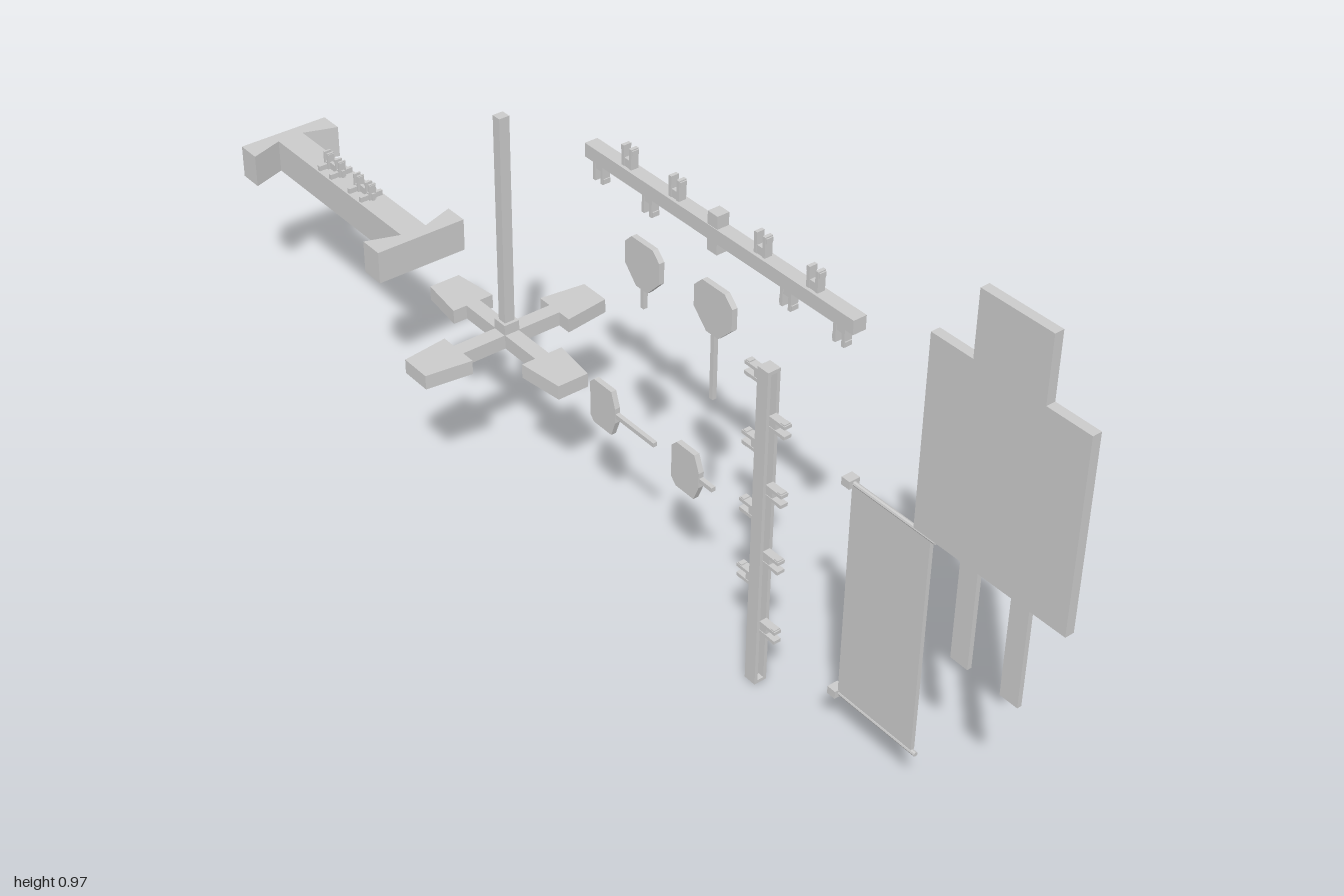
import * as THREE from 'three';

const mat = new THREE.MeshStandardMaterial({ color: 0xcccccc, flatShading: true });

function add(parent, name, geo, x = 0, y = 0, z = 0) {
  const m = new THREE.Mesh(geo, mat);
  m.name = name;
  m.position.set(x, y, z);
  parent.add(m);
  return m;
}

// box given by its limits on each axis
function block(parent, name, x0, x1, y0, y1, z0, z1) {
  return add(parent, name, new THREE.BoxGeometry(x1 - x0, y1 - y0, z1 - z0),
    (x0 + x1) / 2, (y0 + y1) / 2, (z0 + z1) / 2);
}

function group(parent, name, x = 0, y = 0, z = 0) {
  const g = new THREE.Group();
  g.name = name;
  g.position.set(x, y, z);
  parent.add(g);
  return g;
}

const toShape = pts => new THREE.Shape(pts.map(p => new THREE.Vector2(p[0], p[1])));

// moves every edge of a counter-clockwise outline inwards by d
function inset(pts, d) {
  const n = pts.length;
  const dir = (a, b) => {
    const l = Math.hypot(b[0] - a[0], b[1] - a[1]);
    return [(b[0] - a[0]) / l, (b[1] - a[1]) / l];
  };
  return pts.map((p, i) => {
    const u = dir(pts[(i + n - 1) % n], p), v = dir(p, pts[(i + 1) % n]);
    const k = d / (1 + u[0] * v[0] + u[1] * v[1]);
    return [p[0] - k * (u[1] + v[1]), p[1] + k * (u[0] + v[0])];
  });
}

// hollow moulding: flat top with walls, open underneath
function shell(parent, name, pts, height, wall) {
  const g = group(parent, name);
  const ring = toShape(pts);
  ring.holes.push(new THREE.Path(inset(pts, wall).map(p => new THREE.Vector2(p[0], p[1]))));
  const layer = (part, shape, depth, y) => {
    const geo = new THREE.ExtrudeGeometry(shape, { depth, bevelEnabled: false });
    add(g, part, geo.rotateX(-Math.PI / 2), 0, y, 0);
  };
  layer('walls', ring, height - wall, 0);
  layer('topPlate', toShape(pts), wall, height - wall);
  return g;
}

// two-pronged clip pointing along +y
function clip(parent, x, y, angle = 0, length = 0.035) {
  const g = group(parent, 'clip', x, y);
  g.rotation.z = angle;
  block(g, 'clipBase', -0.012, 0.012, 0, length * 0.4, -0.006, 0.006);
  for (const s of [-1, 1]) {
    add(g, 'prong', new THREE.BoxGeometry(0.006, length, 0.014), s * 0.009, length / 2, 0);
    add(g, 'prongTip', new THREE.BoxGeometry(0.004, 0.008, 0.012), s * 0.012, length - 0.006, 0);
  }
  return g;
}

// channel along x, open at the bottom
function channel(parent, name, length) {
  const g = group(parent, name), h = length / 2;
  block(g, 'web', -h, h, 0.005, 0.012, -0.012, 0.012);
  for (const s of [-1, 1]) add(g, 'flange', new THREE.BoxGeometry(length, 0.017, 0.006), 0, -0.0035, s * 0.009);
  for (const s of [-1, 1]) add(g, 'endWall', new THREE.BoxGeometry(0.006, 0.017, 0.012), s * (h - 0.003), -0.0035, 0);
  return g;
}

// flat blade with cut corners and a thin stem, pointing along -y
function paddle(parent, x, y, angle, w, h, corners, stem) {
  const g = group(parent, 'paddle', x, y);
  g.rotation.z = angle;
  const [t, b] = corners, tip = 0.014;
  const half = [[tip, -h], [w, -h + b], [w, h - t], [w - t, h]];
  const pts = [...half, ...half.map(p => [-p[0], p[1]]).reverse()];
  if (w - t < tip) pts[3][0] = tip;
  const geo = new THREE.ExtrudeGeometry(toShape(pts), { depth: 0.01, bevelEnabled: false });
  add(g, 'blade', geo, 0, 0, -0.005);
  block(g, 'stem', -0.004, 0.004, -h - stem, -h, -0.004, 0.004);
}

export function createModel() {
  const root = new THREE.Group();
  root.name = 'partsKit';

  // long foot with flared ends
  const foot = group(root, 'longFoot', -0.77, 0.305);
  const q = [[0.205, 0.026], [0.183, 0.09], [0.23, 0.09]];
  const top = q.map(p => [-p[0], p[1]]).reverse();
  const footPts = [...q.slice().reverse(), ...top.slice().reverse(),
    ...q.map(p => [-p[0], -p[1]]).reverse(), ...top.map(p => [-p[0], -p[1]]).reverse()];
  shell(foot, 'footShell', footPts, 0.063, 0.006);
  for (const x of [-0.05, 0.05]) {
    for (const s of [-1, 1]) {
      clip(foot, x + s * 0.019, 0.063, 0, 0.032).scale.x = 0.6;
      add(foot, 'saddle', new THREE.BoxGeometry(0.007, 0.01, 0.046), x + s * 0.019, 0.068, 0);
    }
    add(foot, 'clipBridge', new THREE.BoxGeometry(0.06, 0.014, 0.006), x, 0.07, 0);
  }

  // cross foot with four paddle-ended arms, and its pole
  const cross = group(root, 'crossFoot', -0.285, 0.283);
  const arm = [[0.014, -0.014], [0.1, -0.014], [0.1, -0.041], [0.187, -0.03],
    [0.187, 0.03], [0.1, 0.041], [0.1, 0.014]];
  const crossPts = [];
  for (let i = 0; i < 4; i++) {
    const c = Math.round(Math.cos(i * Math.PI / 2)), s = Math.round(Math.sin(i * Math.PI / 2));
    for (const [x, y] of arm) crossPts.push([c * x - s * y, s * x + c * y]);
  }
  shell(cross, 'crossShell', crossPts, 0.027, 0.006);
  add(cross, 'socket', new THREE.BoxGeometry(0.03, 0.02, 0.03), 0, 0.037, 0);
  block(cross, 'pole', -0.009, 0.009, 0.02, 0.442, -0.01, 0.01);

  // horizontal rail
  const rail = group(root, 'horizontalRail', 0.257, 0.777);
  channel(rail, 'channel', 0.606);
  for (const x of [-0.207, -0.094, 0.099, 0.211]) clip(rail, x, 0.012);
  for (const x of [-0.277, -0.157, 0.158, 0.27]) clip(rail, x, -0.012, Math.PI);
  block(rail, 'centreBlock', -0.011, 0.011, -0.032, 0.034, -0.011, 0.011);

  // vertical rail
  const post = group(root, 'verticalRail', 0.38, 0.303);
  channel(post, 'channel', 0.606).rotation.z = Math.PI / 2;
  for (const y of [0.583, 0.455, 0.327, 0.197]) clip(post, -0.012, y - 0.303, Math.PI / 2);
  for (const y of [0.515, 0.387, 0.258, 0.118]) clip(post, 0.012, y - 0.303, -Math.PI / 2);

  // paddles
  paddle(root, 0.087, 0.63, 0, 0.042, 0.042, [0.016, 0.03], 0.035);
  paddle(root, 0.256, 0.639, 0, 0.044, 0.043, [0.018, 0.03], 0.118);
  paddle(root, -0.012, 0.307, Math.PI / 2, 0.043, 0.033, [0.01, 0.01], 0.098);
  paddle(root, 0.2, 0.307, Math.PI / 2, 0.043, 0.034, [0.012, 0.012], 0.03);

  // banner with corner knobs
  const banner = group(root, 'banner');
  block(banner, 'bannerSheet', 0.57, 0.73, 0.112, 0.508, -0.004, 0.003);
  for (const y of [0.108, 0.51]) {
    add(banner, 'bannerRod', new THREE.CylinderGeometry(0.004, 0.004, 0.18, 8).rotateZ(Math.PI / 2), 0.648, y, 0);
    add(banner, 'knob', new THREE.BoxGeometry(0.017, 0.014, 0.02), 0.563, y, 0);
  }

  // stepped board on two legs
  const board = group(root, 'steppedBoard');
  const boardPts = [[0.712, 0.53], [0.998, 0.53], [0.998, 0.858], [0.919, 0.858],
    [0.919, 0.968], [0.79, 0.968], [0.79, 0.858], [0.712, 0.858]];
  add(board, 'boardPanel', new THREE.ExtrudeGeometry(toShape(boardPts),
    { depth: 0.016, bevelEnabled: false }), 0, 0, 0.004);
  for (const x of [0.806, 0.903]) {
    block(board, 'boardLeg', x - 0.017, x + 0.017, 0.338, 0.686, -0.004, 0.004);
    for (const y of [0.57, 0.655]) {
      add(board, 'bolt', new THREE.CylinderGeometry(0.006, 0.006, 0.004, 8).rotateX(Math.PI / 2), x, y, -0.006);
    }
  }
  return root;
}
